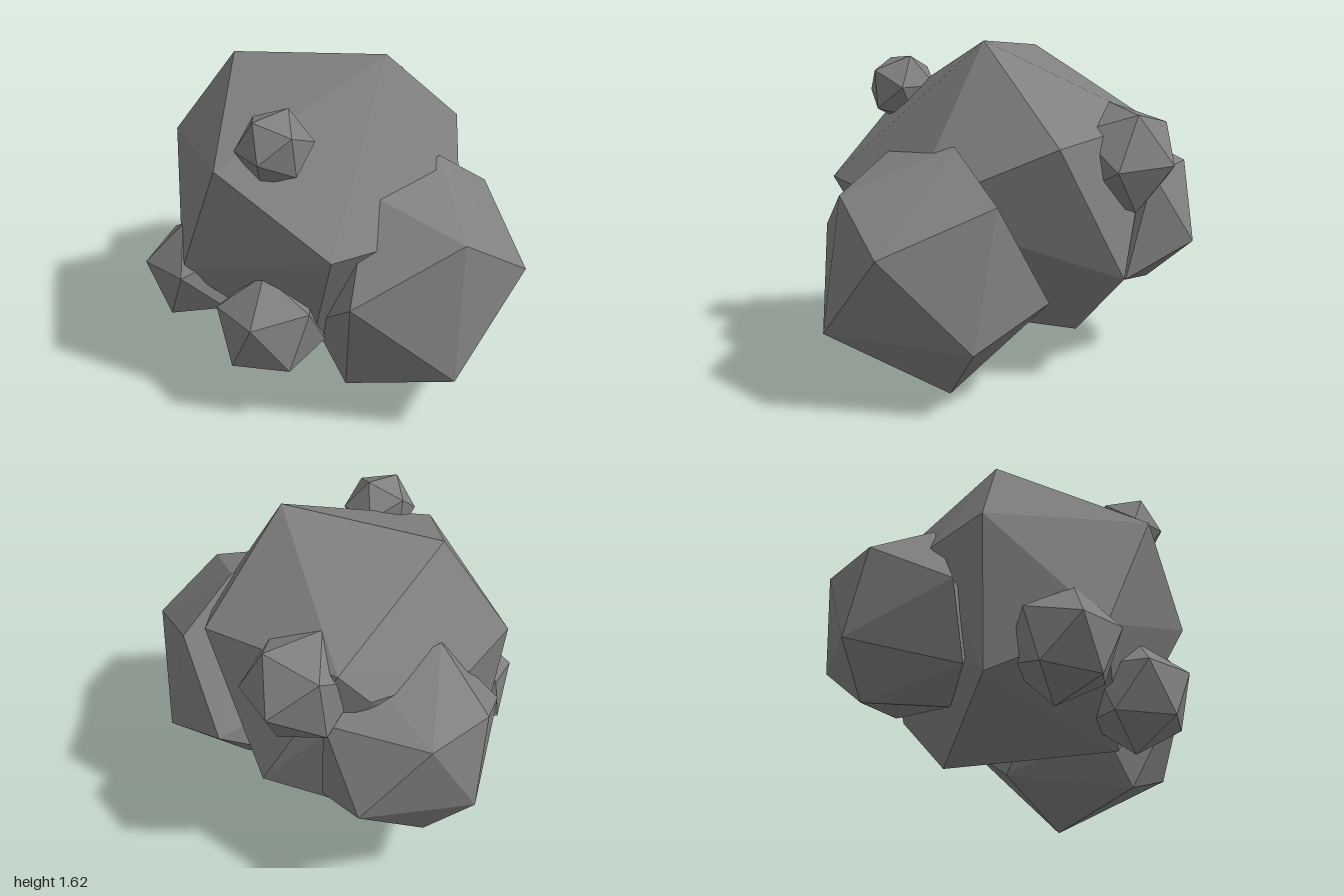
import * as THREE from 'three';
import { ConvexGeometry } from 'three/addons/geometries/ConvexGeometry.js';

const V = (p) => new THREE.Vector3(...p);

export function createModel() {
  const model = new THREE.Group();
  model.name = 'rockCluster';
  const material = new THREE.MeshStandardMaterial({ color: 0x808080, flatShading: true });

  const add = (name, geometry) => {
    const mesh = new THREE.Mesh(geometry, material);
    mesh.name = name;
    model.add(mesh);
    return mesh;
  };

  // Large faceted boulder: convex hull of its corners
  const boulder = (name, corners) => add(name, new ConvexGeometry(corners.map(V)));

  // Small pebble: icosahedron turned so that one edge runs between directions p and q
  const pebble = (name, radius, centre, p, q) => {
    const a = V(p).normalize(), b = V(q).normalize();
    const z = a.clone().add(b).normalize();
    const y = a.clone().sub(b).normalize();
    const x = y.clone().cross(z);
    const mesh = add(name, new THREE.IcosahedronGeometry(radius, 0));
    mesh.quaternion.setFromRotationMatrix(new THREE.Matrix4().makeBasis(x, y, z));
    mesh.position.set(...centre);
  };

  boulder('mainBoulder', [
    [0.23, 1.62, -0.2], [-0.4, 1.54, 0.23], [0.16, 1.25, 0.7], [0.68, 0.94, 0.44],
    [0.7, 0.9, -0.28], [0.18, 1.18, -0.7], [-0.53, 1.22, -0.51], [-0.65, 1.1, 0.43],
    [-0.7, 1.03, 0.13], [-0.62, 1.08, -0.4], [-0.58, 0.37, 0.37], [-0.28, 0.16, -0.27],
    [0.32, 0.24, 0.3], [-0.16, 0.61, 0.71], [-0.21, 0.53, -0.7],
  ]);

  boulder('leftBoulder', [
    [0.94, 0.97, -0.1], [1, 0.32, -0.02], [0.97, 0.75, -0.45], [0.75, 0.72, 0.39],
    [0.49, 0, -0.29], [0.5, 0.12, 0.22], [0.62, 0.32, -0.67], [0.47, 0.95, -0.64],
    [0.48, 1.17, -0.33], [0.52, 1.12, 0.12], [0.2, 0.48, -0.66], [0.1, 0.21, -0.25],
    [0.27, 0.36, 0.25], [0.1, 0.6, 0],
  ]);

  boulder('rightBoulder', [
    [-0.94, 0.96, -0.33], [-0.95, 0.99, 0], [-1, 0.56, -0.1], [-0.72, 0.79, 0.32],
    [-0.61, 1.19, 0.03], [-0.5, 1.1, -0.3], [-0.8, 0.34, -0.22], [-0.76, 0.61, -0.59],
    [-0.5, 0.97, -0.57], [-0.4, 0.45, -0.5], [-0.5, 0.32, 0.05], [-0.62, 0.42, 0.28],
    [-0.3, 0.8, 0],
  ]);

  pebble('frontRightPebble', 0.27, [-0.27, 0.52, 0.55], [-0.1, 0.05, 0.23], [0.15, 0.07, 0.2]);
  pebble('frontLeftPebble', 0.27, [0.265, 0.44, 0.485], [-0.13, 0.09, 0.2], [0.13, 0.1, 0.2]);
  pebble('topPebble', 0.18, [0.27, 1.345, 0.45], [0.15, 0.085, 0.01], [0.15, -0.085, -0.01]);
  pebble('backPebble', 0.275, [-0.315, 1.075, -0.55], [-0.02, 0.25, 0.14], [0.05, 0.21, -0.17]);

  return model;
}
